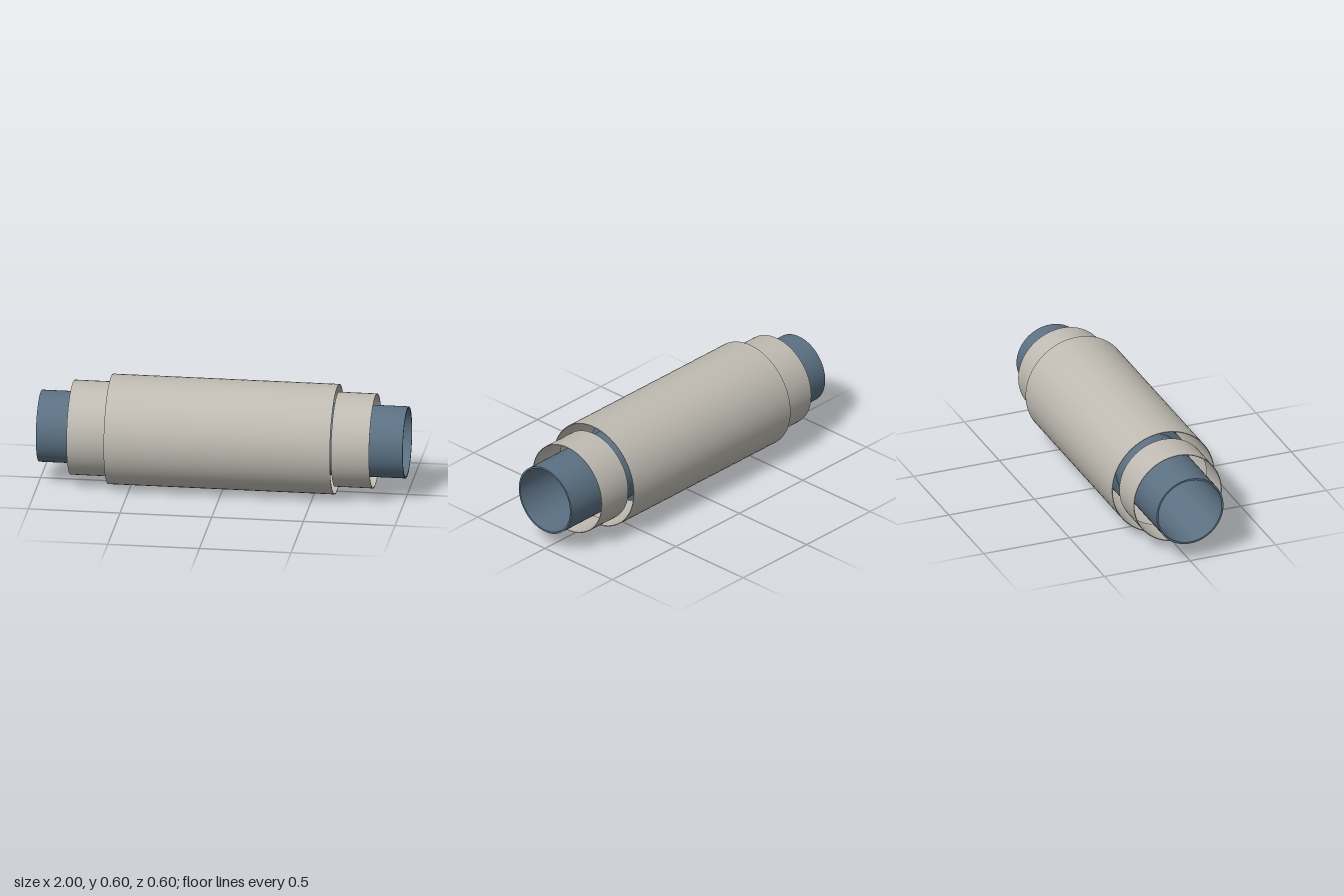
import * as THREE from 'three';
import { toCreasedNormals } from 'three/addons/utils/BufferGeometryUtils.js';

const SEGMENTS = 64;
const AXIS_HEIGHT = 0.3;

const paleMetal = new THREE.MeshStandardMaterial({ color: 0xbfbbb2, side: THREE.DoubleSide });
const blueSteel = new THREE.MeshStandardMaterial({ color: 0x5b7183, side: THREE.DoubleSide });

// Closed [radius, x] profile turned around the x axis, outer wall running towards +x
function turned(name, profile, material) {
  const points = [...profile, profile[0]].map(([r, x]) => new THREE.Vector2(r, x));
  const geometry = new THREE.LatheGeometry(points, SEGMENTS).rotateZ(-Math.PI / 2);
  const mesh = new THREE.Mesh(toCreasedNormals(geometry, 0.4), material);
  mesh.name = name;
  return mesh;
}

// Straight open tube between two x positions
function tube(name, outer, inner, x0, x1, material) {
  return turned(name, [[outer, x0], [outer, x1], [inner, x1], [inner, x0]], material);
}

export function createModel() {
  const model = new THREE.Group();
  model.name = 'concentricTubes';

  const assembly = new THREE.Group();
  assembly.name = 'tubeAssembly';
  assembly.position.y = AXIS_HEIGHT;
  model.add(assembly);

  // Wide thin-walled sleeve around the middle
  assembly.add(tube('outerSleeve', 0.299, 0.295, -0.617, 0.617, paleMetal));

  // Short thin-walled ring beyond each end of the sleeve
  assembly.add(tube('leftEndRing', 0.257, 0.253, 0.617, 0.825, paleMetal));
  assembly.add(tube('rightEndRing', 0.257, 0.253, -0.825, -0.617, paleMetal));

  // Long inner pipe with a raised middle between steep conical shoulders
  assembly.add(turned('innerPipe', [
    [0.195, -1], [0.195, -0.42], [0.228, -0.41],
    [0.228, 0.41], [0.195, 0.42], [0.195, 1],
    [0.185, 1], [0.185, -1],
  ], blueSteel));

  return model;
}
